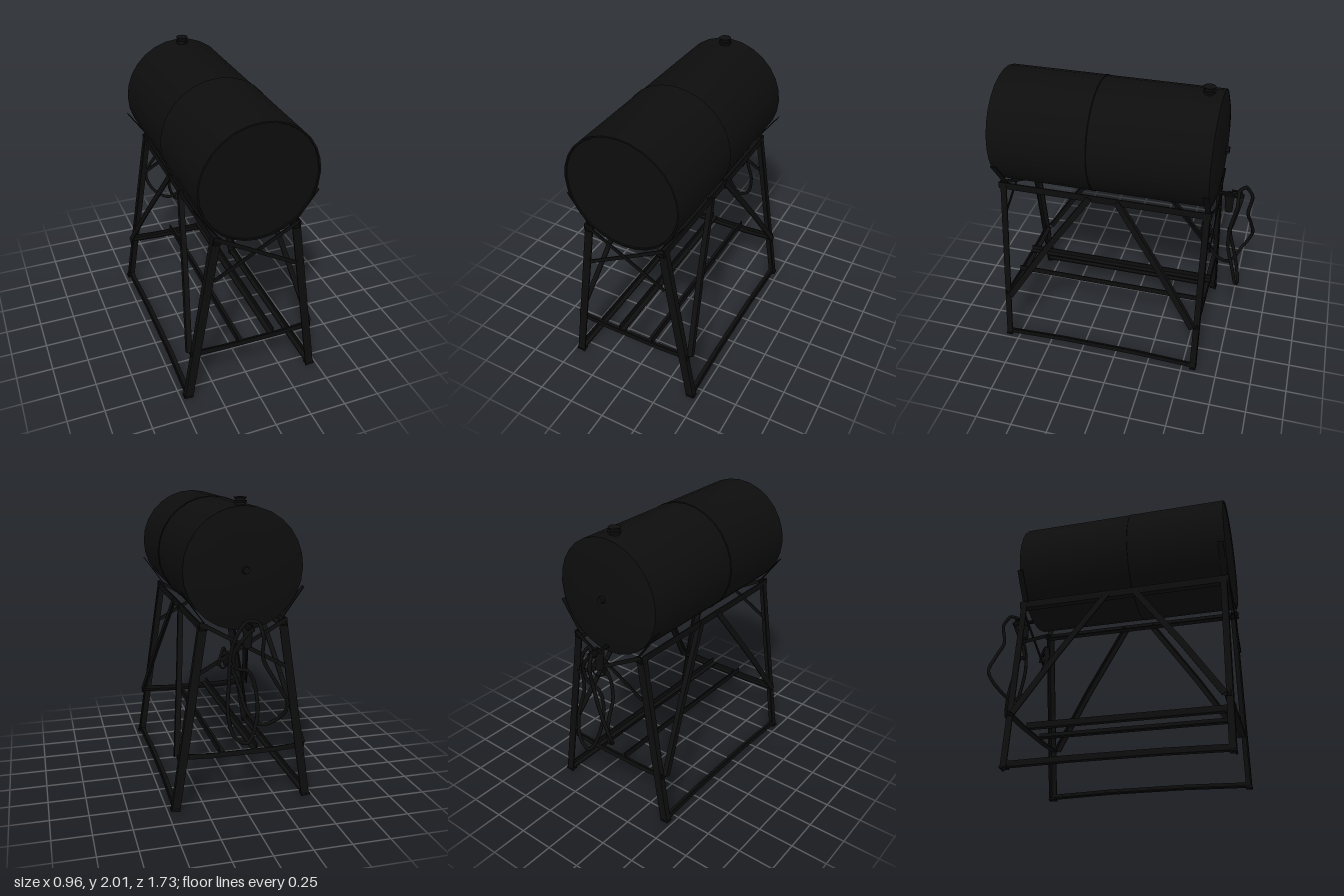
import * as THREE from 'three';
import { toCreasedNormals } from 'three/addons/utils/BufferGeometryUtils.js';

const V = (x, y, z) => new THREE.Vector3(x, y, z);

export function createModel() {
  const model = new THREE.Group();
  const mat = new THREE.MeshStandardMaterial({ color: 0x0d0d0d });

  const add = (name, geo, parent = model) => {
    const m = new THREE.Mesh(geo, mat);
    m.name = name;
    parent.add(m);
    return m;
  };
  const group = (name) => {
    const g = new THREE.Group();
    g.name = name;
    model.add(g);
    return g;
  };

  // L-section bar from a to b; its flanges reach from the corner line along u and v
  function angleBar(name, a, b, u, v, w = 0.045, h = w, t = 0.008, parent = model) {
    const dir = b.clone().sub(a);
    const len = dir.length();
    dir.normalize();
    const x = u.clone().addScaledVector(dir, -u.dot(dir)).normalize();
    const y = dir.clone().cross(x);
    const s = Math.sign(y.dot(v)) || 1;
    const pts = [[0, 0], [w, 0], [w, t], [t, t], [t, h], [0, h]];
    const shape = new THREE.Shape(pts.map(([px, py]) => new THREE.Vector2(px, py * s)));
    const geo = new THREE.ExtrudeGeometry(shape, { depth: len, bevelEnabled: false });
    geo.applyMatrix4(new THREE.Matrix4().makeBasis(x, y, dir).setPosition(a));
    return add(name, geo, parent);
  }

  // Turned part about the z axis; profile rows are [radius, z] from back to front
  const turned = (name, rows, sides, parent = model) => {
    const geo = new THREE.LatheGeometry(rows.map(([r, z]) => new THREE.Vector2(r, z)), sides);
    geo.rotateX(Math.PI / 2);
    return add(name, toCreasedNormals(geo, 0.6), parent);
  };
  const cyl = (name, rTop, rBottom, h, x, y, z, parent = model, sides = 16) => {
    const m = add(name, toCreasedNormals(new THREE.CylinderGeometry(rTop, rBottom, h, sides), 0.6), parent);
    m.position.set(x, y, z);
    return m;
  };
  const tube = (name, pts, r, parent, n = 120) =>
    add(name, new THREE.TubeGeometry(new THREE.CatmullRomCurve3(pts.map((p) => V(...p))), n, r, 8), parent);

  // Tank shells: the front shell laps over the rear one
  const tank = group('tank');
  turned('rearShell', [[0, -0.632], [0.2, -0.625], [0.3, -0.615], [0.385, -0.592], [0.386, 0.2]], 28, tank);
  turned('frontShell', [[0.384, 0.19], [0.391, 0.195], [0.388, 0.21], [0.388, 0.86], [0.378, 0.86], [0.375, 0.853], [0, 0.853]], 28, tank);
  tank.position.y = 1.57;

  // Filler cap on top and plug in the rear head
  const cap = group('fillerCap');
  cyl('neck', 0.03, 0.035, 0.04, 0, 1.965, -0.5, cap);
  cyl('flange', 0.042, 0.042, 0.012, 0, 1.972, -0.5, cap);
  cyl('lid', 0.04, 0.034, 0.014, 0, 1.993, -0.5, cap);
  const plug = cyl('rearPlug', 0.022, 0.026, 0.03, 0, 1.57, -0.642, model, 8);
  plug.rotation.x = -Math.PI / 2;

  // Stand: splayed legs, feet, side rails and diagonals
  const stand = group('stand');
  for (const s of [1, -1]) {
    const side = s > 0 ? 'left' : 'right';
    const inward = V(-s, 0, 0);
    const up = V(0, 1, 0);
    for (const [end, z, toMid] of [['Front', 0.845, -1], ['Rear', -0.6, 1]]) {
      angleBar(side + end + 'Leg', V(s * 0.475, 0, z), V(s * 0.285, 1.245, z), inward, V(0, 0, toMid), 0.055, 0.042, 0.009, stand);
      const foot = add(side + end + 'Foot', new THREE.BoxGeometry(0.06, 0.012, 0.045), stand);
      foot.position.set(s * 0.45, 0.006, z + toMid * 0.02);
      const topZ = end === 'Front' ? 0.23 : 0.01;
      const low = V(s * 0.447, 0.375, z + toMid * 0.03);
      const high = V(s * 0.29, 1.24, topZ);
      const mid = low.clone().lerp(high, 0.48);
      mid.z -= toMid * 0.012;
      angleBar(side + end + 'DiagonalLower', low, mid, inward, V(0, 0, toMid), 0.035, 0.042, 0.009, stand);
      angleBar(side + end + 'DiagonalUpper', mid, high, inward, V(0, 0, toMid), 0.035, 0.042, 0.009, stand);
    }
    // Ground rail, bowed up a little in the middle
    const rail = [V(s * 0.468, 0.008, 0.84), V(s * 0.46, 0.018, 0.4), V(s * 0.46, 0.018, -0.15), V(s * 0.468, 0.008, -0.6)];
    for (let i = 0; i < 3; i++) angleBar(side + 'GroundRail', rail[i], rail[i + 1], inward, up, 0.042, 0.036, 0.009, stand);
    // Saddle rail under the tank, with a thin strip leaning against the shell
    angleBar(side + 'SaddleRail', V(s * 0.285, 1.2, 0.86), V(s * 0.285, 1.2, -0.61), inward, up, 0.05, 0.05, 0.008, stand);
    for (const z of [0.83, -0.58]) {
      const strap = add(side + 'SaddleStrap', new THREE.BoxGeometry(0.005, 0.27, 0.04), stand);
      strap.position.set(s * 0.315, 1.335, z);
      strap.rotation.z = -s * 0.62;
    }
  }

  // Cross members and X braces at both ends
  for (const [end, z, toMid] of [['front', 0.835, -1], ['rear', -0.59, 1]]) {
    const pts = [V(-0.43, 0.375, z), V(-0.2, 0.34, z), V(0.2, 0.34, z), V(0.43, 0.375, z)];
    pts[0].y = pts[3].y = 0.352;
    for (let i = 0; i < 3; i++) angleBar(end + 'CrossMember', pts[i], pts[i + 1], V(0, 1, 0), V(0, 0, toMid), 0.034, 0.042, 0.009, stand);
    for (const s of [1, -1]) {
      const dz = -toMid * (s > 0 ? 0.014 : 0.02);
      const brace = add(end + 'Brace', new THREE.BoxGeometry(0.64, 0.026, 0.006), stand);
      brace.position.set(0, 1.09, z + dz);
      brace.rotation.z = s * 0.51;
    }
  }

  // Pair of lengthwise shelf angles resting on the cross members
  angleBar('shelfAngleRight', V(-0.105, 0.37, 0.83), V(-0.105, 0.37, -0.59), V(1, 0, 0), V(0, 1, 0), 0.042, 0.042, 0.008, stand);
  angleBar('shelfAngleLeft', V(0.158, 0.37, 0.83), V(0.158, 0.37, -0.59), V(-1, 0, 0), V(0, 1, 0), 0.042, 0.042, 0.008, stand);

  // Outlet pipe, valve and filter at the rear
  const outlet = group('outlet');
  const pipe = cyl('outletPipe', 0.014, 0.014, 0.2, 0, 1.232, -0.68, outlet, 10);
  pipe.rotation.x = Math.PI / 2;
  cyl('filterHead', 0.034, 0.034, 0.035, 0, 1.215, -0.685, outlet);
  cyl('filterBowl', 0.03, 0.027, 0.1, 0, 1.15, -0.685, outlet);
  const valve = cyl('valve', 0.022, 0.022, 0.045, 0, 1.232, -0.745, outlet, 8);
  valve.rotation.x = Math.PI / 2;
  const handle = add('valveHandle', new THREE.BoxGeometry(0.014, 0.008, 0.07), outlet);
  handle.position.set(0, 1.262, -0.73);

  // Coiled hose: a low narrow loop, over the top, then a wide loop to the nozzle
  const hose = group('hose');
  tube('lowLoop', [
    [0, 1.232, -0.77], [0.03, 1.2, -0.765], [0.1, 1.08, -0.735], [0.08, 0.98, -0.71], [0, 0.95, -0.705],
    [-0.045, 0.84, -0.715], [-0.04, 0.65, -0.765], [0.03, 0.515, -0.8], [0.11, 0.56, -0.79],
    [0.145, 0.72, -0.76], [0.125, 0.9, -0.715], [0.12, 1.05, -0.72], [0.085, 1.2, -0.75],
    [0.02, 1.28, -0.75], [-0.04, 1.28, -0.79],
  ], 0.012, hose, 160);
  tube('wideLoop', [
    [-0.04, 1.28, -0.79], [-0.055, 1.2, -0.832], [-0.06, 1.06, -0.815], [-0.13, 0.92, -0.84],
    [-0.21, 0.77, -0.85], [-0.18, 0.66, -0.79], [-0.08, 0.6, -0.72], [-0.01, 0.67, -0.64],
    [0.015, 0.8, -0.56], [0.06, 0.92, -0.53], [0.1, 0.99, -0.54],
  ], 0.012, hose);

  // Nozzle with trigger guard and spout
  const nozzle = group('nozzle');
  tube('nozzleBody', [[0.09, 0.95, -0.53], [0.105, 1.0, -0.542], [0.1, 1.05, -0.545]], 0.02, nozzle, 12);
  tube('spout', [[0.1, 1.03, -0.545], [0.12, 1.07, -0.56], [0.15, 1.03, -0.6], [0.17, 0.97, -0.62]], 0.009, nozzle, 20);
  const guard = add('triggerGuard', new THREE.TorusGeometry(0.04, 0.005, 6, 16), nozzle);
  guard.position.set(0.12, 0.98, -0.57);
  guard.rotation.y = 0.6;

  return model;
}
